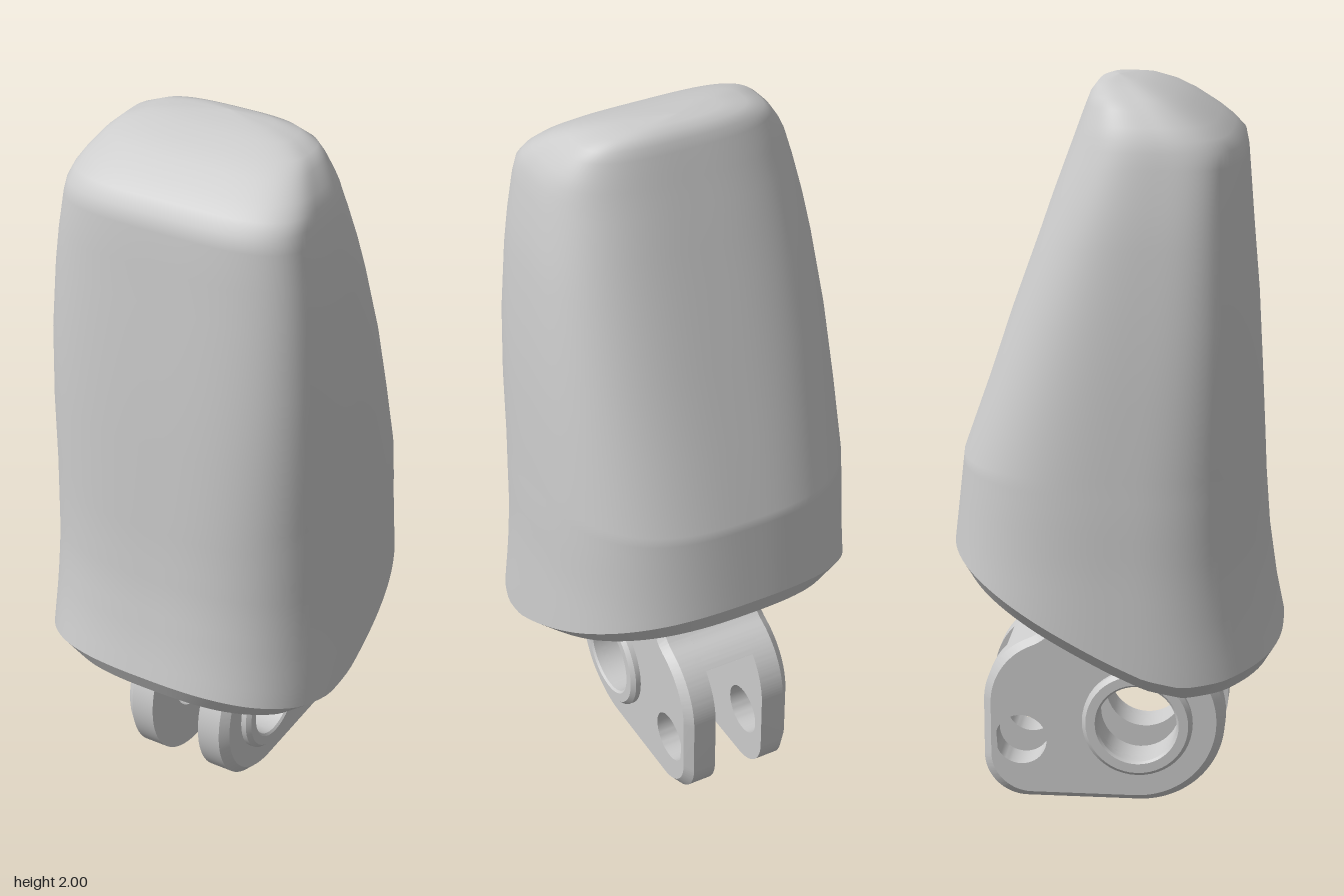
import * as THREE from 'three';
import { toCreasedNormals } from 'three/addons/utils/BufferGeometryUtils.js';

const SEG = 112;

// Body sections: height, front z, back z, half width
const ROWS = [
  [0.40, 0.475, -0.49, 0.447], [0.49, 0.455, -0.48, 0.445], [0.60, 0.432, -0.468, 0.44],
  [0.75, 0.41, -0.45, 0.433], [0.90, 0.398, -0.432, 0.43], [1.0, 0.393, -0.42, 0.426],
  [1.2, 0.382, -0.348, 0.42], [1.4, 0.37, -0.28, 0.409], [1.6, 0.352, -0.207, 0.39],
  [1.7, 0.344, -0.172, 0.376], [1.8, 0.336, -0.135, 0.357], [1.84, 0.328, -0.12, 0.347],
  [1.87, 0.30, -0.109, 0.337], [1.9, 0.262, -0.098, 0.32], [1.94, 0.2, -0.083, 0.29],
  [1.965, 0.15, -0.073, 0.262], [1.985, 0.095, -0.058, 0.205], [1.995, 0.05, -0.035, 0.13],
  [2.0, -0.005, -0.005, 0],
];

// Underside height along z
const UNDER = [
  [-0.5, 0.725], [-0.42, 0.68], [-0.2, 0.565], [0, 0.465], [0.1, 0.42],
  [0.2, 0.397], [0.3, 0.405], [0.4, 0.43], [0.5, 0.46],
];

function lookup(table, t, col) {
  let i = 0;
  while (i < table.length - 2 && t > table[i + 1][0]) i++;
  const a = table[i], b = table[i + 1];
  const k = THREE.MathUtils.clamp((t - a[0]) / (b[0] - a[0]), 0, 1);
  return a[col] + (b[col] - a[col]) * k;
}
const underY = (z) => lookup(UNDER, z, 1);

// Point of the rounded section at height y and angle a
function sectionPoint(y, a) {
  const zf = lookup(ROWS, y, 1), zb = lookup(ROWS, y, 2), w = lookup(ROWS, y, 3);
  const c = Math.cos(a), s = Math.sin(a);
  const n = s > 0 ? 2.7 + 0.9 * THREE.MathUtils.smoothstep(y, 0.5, 1.7) : 2.6 + 0.4 * THREE.MathUtils.smoothstep(y, 0.7, 1.6);
  const r = 1 / Math.pow(Math.abs(c) ** n + Math.abs(s) ** n, 1 / n);
  const mid = zb + (zf - zb) * 0.56;
  return new THREE.Vector3(w * c * r, y, mid + (s > 0 ? zf - mid : mid - zb) * s * r);
}

// Lower rim follows the curved underside
function rimPoint(a) {
  let y = 0.5, p;
  for (let k = 0; k < 12; k++) {
    p = sectionPoint(y, a);
    y = underY(p.z) + 0.05;
  }
  return p;
}

// Skin closed rings given from bottom to top
function loft(rings) {
  const pos = [], idx = [];
  rings.forEach((ring) => ring.forEach((p) => pos.push(p.x, p.y, p.z)));
  for (let j = 0; j < rings.length - 1; j++) {
    for (let i = 0; i < SEG; i++) {
      const k = (i + 1) % SEG;
      const a = j * SEG + i, b = j * SEG + k;
      idx.push(a, a + SEG, b, b, a + SEG, b + SEG);
    }
  }
  const g = new THREE.BufferGeometry();
  g.setAttribute('position', new THREE.Float32BufferAttribute(pos, 3));
  g.setIndex(idx);
  g.computeVertexNormals();
  return g;
}

const ringOf = (f) => Array.from({ length: SEG }, (_, i) => f((i / SEG) * Math.PI * 2));

function shellGeometry() {
  const rings = [];
  for (let k = 0; k < 10; k++) {
    rings.push(ringOf((a) => sectionPoint(THREE.MathUtils.lerp(rimPoint(a).y, 1.0, k / 10), a)));
  }
  ROWS.filter((r) => r[0] >= 1).forEach((r) => rings.push(ringOf((a) => sectionPoint(r[0], a))));
  return loft(rings);
}

function undersideGeometry() {
  const rings = [0, 0.2, 0.4, 0.6, 0.8, 1].map((k) => ringOf((a) => {
    const p = rimPoint(a);
    const z = p.z * 0.93 * k;
    return new THREE.Vector3(p.x * 0.87 * k, underY(z), z);
  }));
  rings.push(ringOf(rimPoint));
  return toCreasedNormals(loft(rings), 0.35);
}

// Lug side profile, drawn with shape x = -z
const PIVOT = { x: -0.06, y: 0.24, r: 0.11 };
const PIN = { x: 0.265, y: 0.175, r: 0.072 };

function lugShape() {
  const s = new THREE.Shape();
  s.moveTo(-0.2, 0.46);
  s.lineTo(-0.26, 0.37);
  s.absarc(PIVOT.x, PIVOT.y, 0.24, 2.57, Math.PI * 1.5, false);
  s.lineTo(0.25, 0);
  s.absarc(0.25, 0.12, 0.12, -Math.PI / 2, 0, false);
  s.lineTo(0.37, 0.28);
  s.absarc(0.17, 0.28, 0.2, 0, 1.15, false);
  s.quadraticCurveTo(0.185, 0.49, 0.185, 0.54);
  s.lineTo(0.185, 0.62);
  s.closePath();
  for (const h of [PIVOT, PIN]) s.holes.push(new THREE.Path().absarc(h.x, h.y, h.r, 0, Math.PI * 2, true));
  return s;
}

// Plate whose outer rim is chamfered while the holes stay straight
function lugGeometry() {
  const depth = 0.09;
  const g = new THREE.ExtrudeGeometry(lugShape(), { depth, steps: 2, bevelEnabled: false, curveSegments: 24 });
  const p = g.attributes.position;
  for (let i = 0; i < p.count; i++) {
    const x = p.getX(i), y = p.getY(i), z = p.getZ(i);
    const onHole = [PIVOT, PIN].some((h) => Math.hypot(x - h.x, y - h.y) < h.r + 0.005);
    if (z > 0.03 && z < 0.06) p.setZ(i, 0.068);
    if (z > 0.08 && !onHole) p.setXY(i, 0.04 + (x - 0.04) * 0.935, 0.28 + (y - 0.28) * 0.93);
  }
  g.rotateY(Math.PI / 2).translate(0.075, 0, 0);
  return toCreasedNormals(g, 0.4);
}

// Raised collar around the pivot hole
function bossGeometry() {
  const pts = [[0.11, 0.15], [0.11, 0.186], [0.116, 0.192], [0.142, 0.192], [0.153, 0.18], [0.153, 0.15]]
    .map(([r, h]) => new THREE.Vector2(r, h));
  const g = new THREE.LatheGeometry(pts.reverse(), 48);
  g.rotateZ(-Math.PI / 2).translate(0, PIVOT.y, -PIVOT.x);
  return toCreasedNormals(g, 0.4);
}

// Mirror a non-indexed geometry in x, keeping faces outward
function mirrorX(src) {
  const g = src.clone().scale(-1, 1, 1);
  for (const key of ['position', 'normal']) {
    const a = g.attributes[key];
    for (let i = 0; i < a.count; i += 3) {
      const u = new THREE.Vector3().fromBufferAttribute(a, i + 1);
      const v = new THREE.Vector3().fromBufferAttribute(a, i + 2);
      a.setXYZ(i + 1, v.x, v.y, v.z);
      a.setXYZ(i + 2, u.x, u.y, u.z);
    }
  }
  return g;
}

// Solid neck joining the two lugs under the body
function bridgeGeometry() {
  const s = new THREE.Shape();
  s.moveTo(-0.18, 0.42);
  s.lineTo(0.313, 0.42);
  s.absarc(0.17, 0.28, 0.2, 0.775, 1.15, false);
  s.quadraticCurveTo(0.185, 0.49, 0.185, 0.54);
  s.lineTo(0.185, 0.62);
  s.lineTo(-0.18, 0.46);
  s.closePath();
  const g = new THREE.ExtrudeGeometry(s, { depth: 0.152, bevelEnabled: false, curveSegments: 16 });
  g.rotateY(Math.PI / 2).translate(-0.076, 0, 0);
  return toCreasedNormals(g, 0.4);
}

export function createModel() {
  const model = new THREE.Group();
  model.name = 'paddedHingeLink';
  const grey = new THREE.MeshStandardMaterial({ color: 0xcccccc });
  const open = new THREE.MeshStandardMaterial({ color: 0xcccccc, side: THREE.DoubleSide });
  const add = (name, geometry, material = grey) => {
    const mesh = new THREE.Mesh(geometry, material);
    mesh.name = name;
    model.add(mesh);
  };

  add('bodyShell', shellGeometry());
  add('bodyUnderside', undersideGeometry());
  add('lugBridge', bridgeGeometry());

  const lug = lugGeometry(), boss = bossGeometry();
  add('leftLug', lug);
  add('rightLug', mirrorX(lug));
  add('leftPivotCollar', boss, open);
  add('rightPivotCollar', mirrorX(boss), open);
  return model;
}
